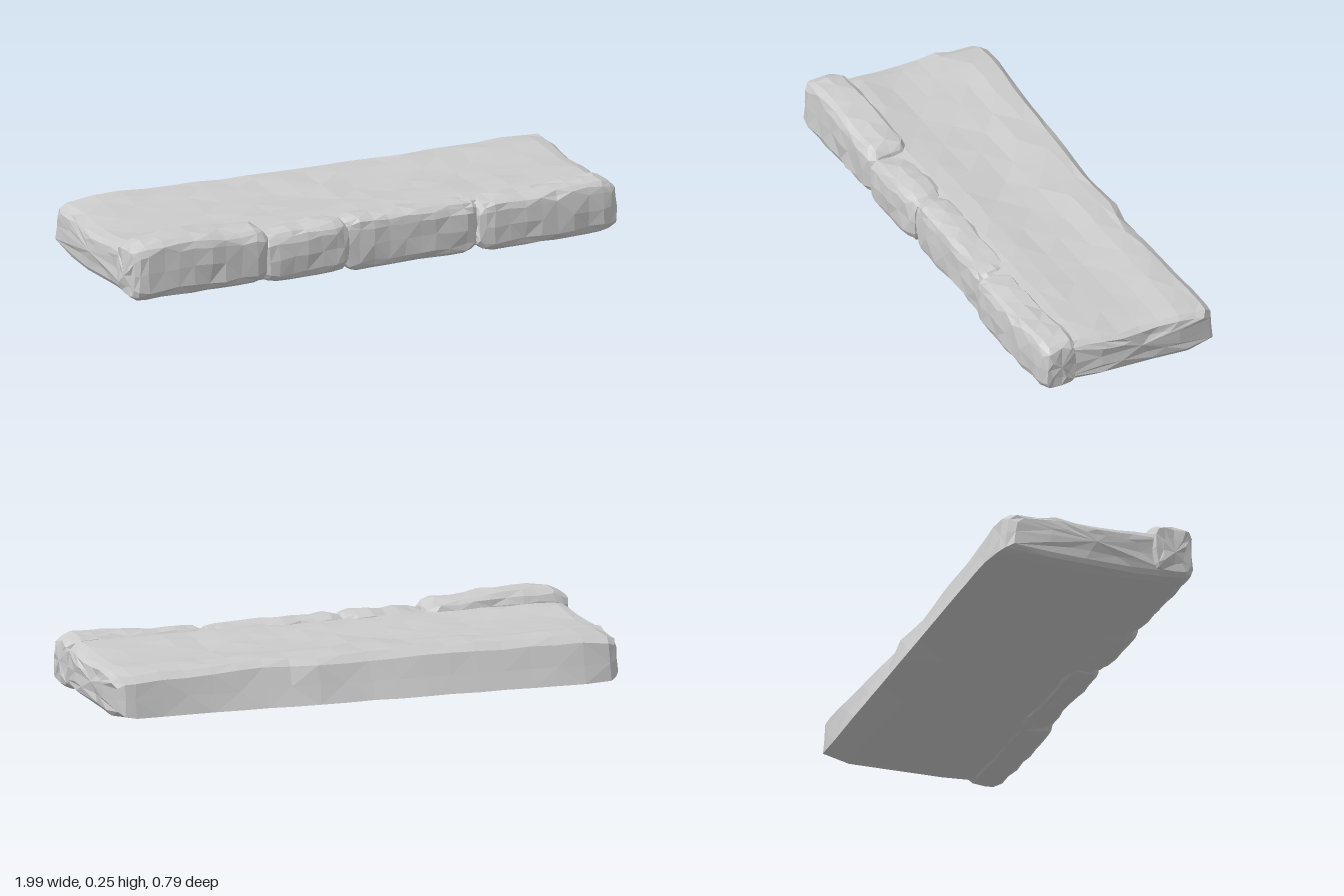
import * as THREE from 'three';

const material = new THREE.MeshStandardMaterial({ color: 0xcccccc, flatShading: true });

// Repeatable pseudo-random value in -1..1
function makeRandom(seed) {
  let s = seed;
  return () => {
    s = (s * 16807) % 2147483647;
    return (s / 2147483647) * 2 - 1;
  };
}

// Piecewise linear lookup in a list of [x, value] points
function along(points, x) {
  for (let i = 1; i < points.length; i++) {
    const [x0, v0] = points[i - 1], [x1, v1] = points[i];
    if (x <= x1) return THREE.MathUtils.lerp(v0, v1, THREE.MathUtils.clamp((x - x0) / (x1 - x0), 0, 1));
  }
  return points[points.length - 1][1];
}

// Skins closed cross-sections of [z, y] points placed along x.
// Each station is [x, zScale, yScale]; the scales round off the ends.
function loft(name, stations, section, centre, roughness, seed, endShift = () => 0) {
  const random = makeRandom(seed), positions = [], index = [];
  const n = section(stations[0][0]).length;
  stations.forEach(([x, sz, sy]) => {
    section(x).forEach(([z, y]) => {
      const pz = centre[0] + (z - centre[0]) * sz;
      const py = centre[1] + (y - centre[1]) * sy;
      const low = y < 0.04 ? 0.35 : 1;
      positions.push(
        x + endShift(x, pz) + random() * roughness,
        Math.max(0, py + random() * roughness * low),
        pz + random() * roughness * (z < -0.28 ? 0.25 : 1)
      );
    });
  });
  for (let i = 0; i < stations.length - 1; i++) {
    for (let j = 0; j < n; j++) {
      const a = i * n + j, b = i * n + (j + 1) % n, c = a + n, d = b + n;
      if ((i + j) % 2) index.push(a, b, c, b, d, c);
      else index.push(a, b, d, a, d, c);
    }
  }
  // End fans
  [0, stations.length - 1].forEach((i) => {
    const x = stations[i][0], tip = positions.length / 3;
    positions.push(x + Math.sign(i - 0.5) * 0.004 + endShift(x, centre[0]), centre[1], centre[0]);
    for (let j = 0; j < n; j++) {
      const a = i * n + j, b = i * n + (j + 1) % n;
      if (i === 0) index.push(tip, b, a);
      else index.push(tip, a, b);
    }
  });
  const geometry = new THREE.BufferGeometry();
  geometry.setAttribute('position', new THREE.Float32BufferAttribute(positions, 3));
  geometry.setIndex(index);
  geometry.computeVertexNormals();
  const mesh = new THREE.Mesh(geometry, material);
  mesh.name = name;
  return mesh;
}

// Tread slab: flat sloping back, gently dished top
function createSlab() {
  const backBottom = [[-0.95, -0.385], [-0.82, -0.4], [0.97, -0.328]];
  const backTop = [[-0.95, -0.37], [-0.8, -0.365], [-0.6, -0.345], [-0.3, -0.33], [0, -0.312],
    [0.2, -0.322], [0.32, -0.295], [0.6, -0.307], [0.97, -0.32]];
  const rim = [[-1, 0.185], [-0.8, 0.207], [-0.4, 0.2], [0, 0.196], [0.5, 0.197], [1, 0.185]];
  const section = (x) => {
    const b = along(backBottom, x), t = along(backTop, x), r = along(rim, x);
    return [
      [b, 0.032], [(b + t) / 2, 0.1], [t, r - 0.025], [t + 0.03, r - 0.002], [-0.25, r],
      [-0.18, 0.196], [-0.1, 0.189], [-0.02, 0.187], [0.07, 0.189], [0.15, 0.197],
      [0.22, 0.2], [0.3, 0.19], [0.325, 0.1], [0.31, 0.02], [0.15, 0.014],
      [-0.07, 0.01], [-0.22, 0.015]
    ];
  };
  const stations = [[-0.985, 0.5, 0.4], [-0.982, 0.88, 0.72], [-0.97, 0.96, 0.9]];
  for (let i = 0; i <= 18; i++) stations.push([-0.93 + i * 0.1025, 1, 1]);
  stations.push([0.962, 0.98, 0.9], [0.98, 0.92, 0.7], [0.984, 0.5, 0.4]);
  // Uneven outline of the two short ends
  const leftEnd = [[-0.4, 0.025], [-0.33, 0.005], [0, -0.004], [0.1, 0.008], [0.3, 0]];
  const rightEnd = [[-0.33, -0.012], [-0.27, 0.008], [-0.15, 0], [-0.05, -0.015], [0.1, 0.005],
    [0.22, -0.025], [0.32, -0.025]];
  const endShift = (x, z) => (x < -0.95 ? along(leftEnd, z) : x > 0.95 ? along(rightEnd, z) : 0);
  return loft('treadSlab', stations, section, [-0.02, 0.11], 0.004, 11, endShift);
}

// One rounded, rough edging stone spanning x0..x1
function createStone({ x0, x1, back, front, bottom, top, bulge }, i) {
  const zc = (back + front) / 2, hz = (front - back) / 2, sides = 16;
  const power = (v, e) => Math.sign(v) * Math.abs(v) ** e;
  const section = (x) => {
    const t = along(top, x), yc = (bottom + t) / 2, hy = (t - bottom) / 2;
    const swell = 1 + bulge * Math.sin(((x - x0) / (x1 - x0)) * Math.PI);
    return Array.from({ length: sides }, (_, k) => {
      const a = Math.PI * 1.25 - (k / sides) * Math.PI * 2;
      return [zc + power(Math.cos(a), 0.5) * hz * swell, yc + power(Math.sin(a), 0.5) * hy];
    });
  };
  const stations = [[x0, 0.5, 0.45], [x0 + 0.004, 0.8, 0.8], [x0 + 0.025, 0.94, 0.94]];
  const steps = Math.round((x1 - x0) / 0.08);
  for (let k = 0; k <= steps; k++) {
    stations.push([THREE.MathUtils.lerp(x0 + 0.06, x1 - 0.06, k / steps), 1, 1]);
  }
  stations.push([x1 - 0.025, 0.94, 0.94], [x1 - 0.004, 0.8, 0.8], [x1, 0.5, 0.45]);
  return loft('edgingStone' + (i + 1), stations, section, [zc, 0.115], 0.0055, 101 + i * 37);
}

export function createModel() {
  const group = new THREE.Group();
  group.name = 'stoneStep';
  group.add(createSlab());

  // Row of edging stones along the front
  const stones = [
    { x0: -0.997, x1: -0.435, back: 0.2, front: 0.37, bottom: 0.022, bulge: 0.02,
      top: [[-1, 0.238], [-0.92, 0.247], [-0.72, 0.252], [-0.64, 0.238], [-0.44, 0.232]] },
    { x0: -0.465, x1: -0.11, back: 0.22, front: 0.365, bottom: 0.014, bulge: 0.12,
      top: [[-0.46, 0.198], [-0.2, 0.214], [-0.11, 0.21]] },
    { x0: -0.13, x1: 0.425, back: 0.22, front: 0.355, bottom: 0.005, bulge: 0.06,
      top: [[-0.13, 0.214], [0.1, 0.208], [0.42, 0.204]] },
    { x0: 0.41, x1: 0.972, back: 0.235, front: 0.385, bottom: 0.008, bulge: 0.04,
      top: [[0.41, 0.202], [0.7, 0.204], [0.92, 0.215], [0.97, 0.205]] }
  ];
  stones.forEach((stone, i) => group.add(createStone(stone, i)));
  return group;
}
